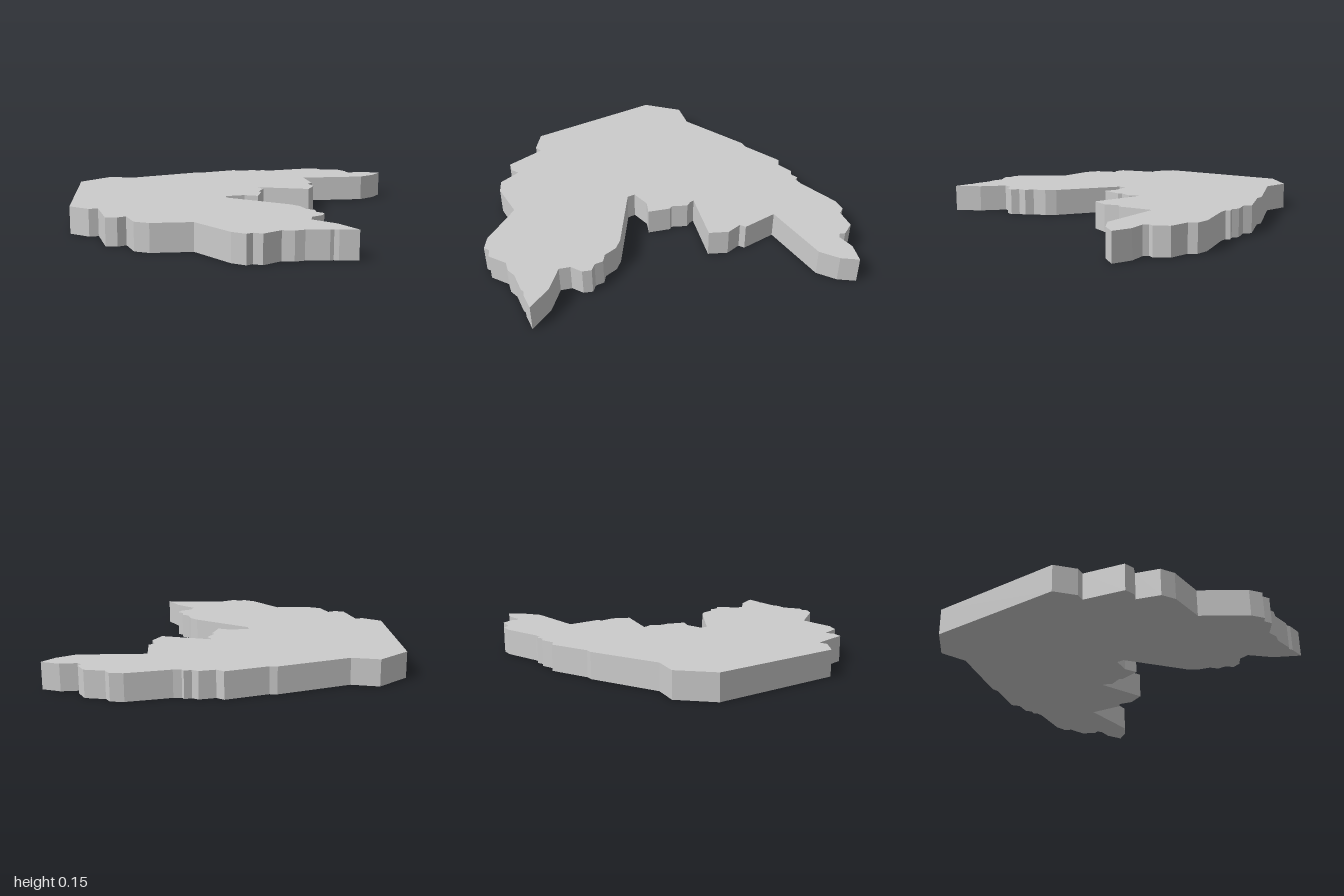
import * as THREE from 'three';

const HEIGHT = 0.15;

// Outline stretches as [x, z], going round the slab from its west corner
const backEdge = [
  [-0.95, 0.04], [-0.865, -0.18], [-0.71, -0.215], [-0.42, -0.535], [-0.38, -0.55],
  [-0.21, -0.73], [-0.16, -0.72], [-0.09, -0.78], [-0.05, -0.775], [-0.02, -0.805],
  [0, -0.79], [0.04, -0.81], [0.23, -0.97], [0.3, -0.995], [0.34, -0.97],
  [0.45, -1], [0.52, -0.95], [0.52, -0.92], [0.55, -0.91], [0.63, -0.96], [0.74, -0.97],
];
const innerBay = [
  [0.72, -0.87], [0.66, -0.77], [0.32, -0.595], [0.42, -0.42], [0.4, -0.39],
  [0.455, -0.32], [0.455, -0.21], [0.155, -0.16], [0.17, -0.14], [0.2, -0.12],
  [0.2, -0.03], [0.22, -0.02], [0.24, 0.105], [0.16, 0.11], [0.07, 0.175], [0.09, 0.215],
];
const eastTip = [
  [0.48, 0.275], [0.54, 0.3], [0.59, 0.36], [0.64, 0.37], [0.66, 0.415],
  [0.705, 0.43], [0.71, 0.48], [0.67, 0.54], [0.68, 0.6], [0.825, 0.645], [0.95, 0.735],
];
const frontEdge = [
  [0.86, 0.77], [0.835, 0.77], [0.82, 0.785], [0.71, 0.825], [0.67, 0.86],
  [0.61, 0.875], [0.55, 0.97], [0.5, 0.97], [0.48, 1], [0.4, 0.99],
  [0.16, 0.86], [-0.035, 0.955], [-0.12, 0.955], [-0.21, 0.86], [-0.24, 0.9],
  [-0.3, 0.915], [-0.44, 0.735], [-0.48, 0.765], [-0.61, 0.74],
];

export function createModel() {
  const group = new THREE.Group();
  group.name = 'mapSlab';

  // Flat slab with a ragged outline, laid down so it stands on y = 0
  const outline = [...backEdge, ...innerBay, ...eastTip, ...frontEdge];
  const shape = new THREE.Shape(outline.map(([x, z]) => new THREE.Vector2(x, -z)));
  const geometry = new THREE.ExtrudeGeometry(shape, { depth: HEIGHT, bevelEnabled: false });
  geometry.rotateX(-Math.PI / 2);

  const slab = new THREE.Mesh(
    geometry,
    new THREE.MeshStandardMaterial({ color: 0xcccccc, flatShading: true }),
  );
  slab.name = 'landSlab';
  group.add(slab);
  return group;
}
